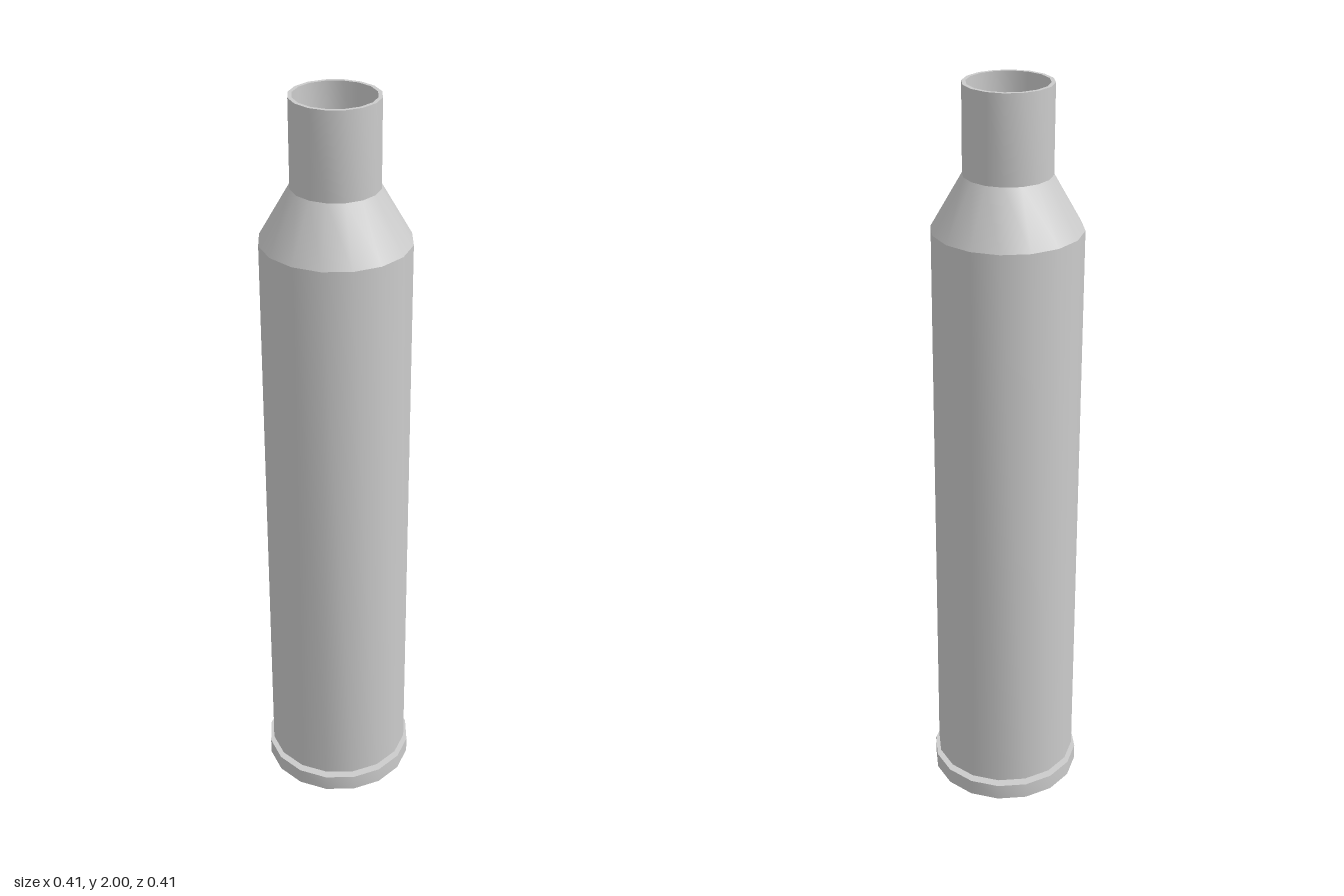
import * as THREE from 'three';
import { toCreasedNormals } from 'three/addons/utils/BufferGeometryUtils.js';

const SIDES = 16;
const TURN = THREE.MathUtils.degToRad(-4);
const LEAN = -0.0045; // sideways drift of the axis per unit of height

const material = new THREE.MeshStandardMaterial({ color: 0xcccccc });

// Revolve an [r, y] profile, smooth around but sharp at profile corners
function turned(name, profile) {
  const points = profile.map(([r, y]) => new THREE.Vector2(r, y));
  let geometry = new THREE.LatheGeometry(points, SIDES, TURN);
  geometry = toCreasedNormals(geometry, THREE.MathUtils.degToRad(26));
  geometry.applyMatrix4(new THREE.Matrix4().makeShear(0, 0, LEAN, 0, 0, 0).identity().set(
    1, LEAN, 0, 0,
    0, 1, 0, 0,
    0, 0, 1, 0,
    0, 0, 0, 1));
  const mesh = new THREE.Mesh(geometry, material);
  mesh.name = name;
  return mesh;
}

export function createModel() {
  const model = new THREE.Group();
  model.name = 'cartridgeCase';
  model.add(
    // Recessed pocket in the underside
    turned('primerPocket', [[0, 0.03], [0.104, 0.03], [0.104, 0]]),
    // Rim disc with the narrow groove above it
    turned('rim', [[0.104, 0], [0.205, 0], [0.205, 0.045], [0.17, 0.045]]),
    turned('extractorGroove', [[0.17, 0.045], [0.17, 0.05], [0.195, 0.058]]),
    // Long body, sloped shoulder and straight neck
    turned('body', [[0.195, 0.058], [0.193, 1.635]]),
    turned('shoulder', [[0.193, 1.635], [0.113, 1.775]]),
    turned('neck', [[0.113, 1.775], [0.113, 2], [0.103, 2]]),
    // Hollow inside, from the mouth down to the floor
    turned('interior', [[0.103, 2], [0.103, 1.77], [0.183, 1.63], [0.183, 0.07], [0, 0.07]])
  );
  return model;
}
